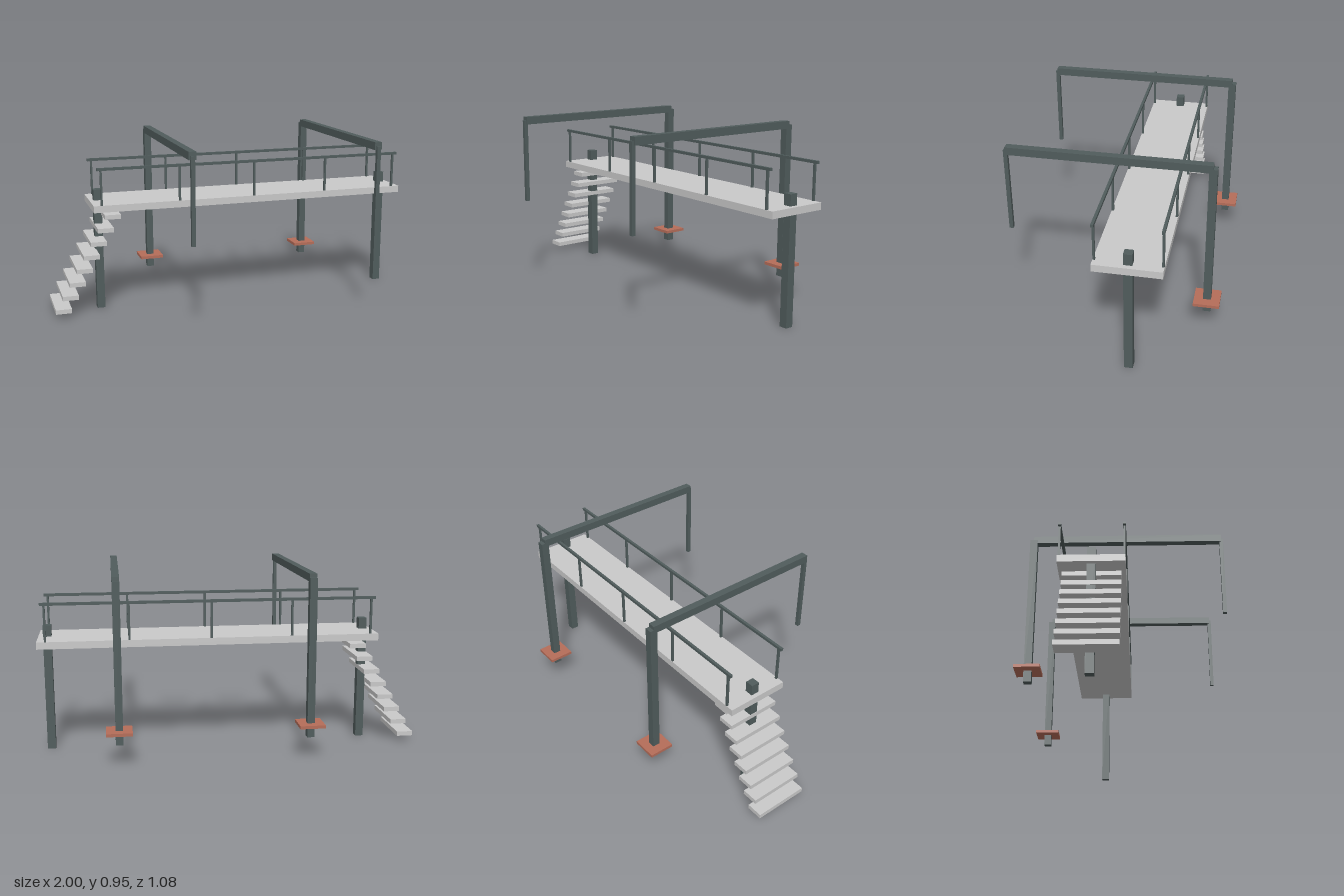
import * as THREE from 'three';

export function createModel() {
  const model = new THREE.Group();
  model.name = 'raisedWalkway';

  const material = (name, color) => {
    const m = new THREE.MeshStandardMaterial({ color });
    m.name = name;
    return m;
  };
  const steel = material('darkSteel', 0x505c5c);
  const concrete = material('paleConcrete', 0xc9c9c9);
  const rust = material('rustRed', 0xb56d59);

  // Box given by size and centre
  const box = (parent, name, mat, size, centre) => {
    const mesh = new THREE.Mesh(new THREE.BoxGeometry(...size), mat);
    mesh.name = name;
    mesh.position.set(...centre);
    parent.add(mesh);
  };
  const group = (name) => {
    const g = new THREE.Group();
    g.name = name;
    model.add(g);
    return g;
  };

  const midZ = -0.139;

  // Deck and the two columns that pass up through it
  box(model, 'deck', concrete, [1.78, 0.037, 0.332], [0.11, 0.591, midZ]);
  for (const x of [-0.736, 0.954]) {
    box(model, 'deckColumn', steel, [0.043, 0.668, 0.043], [x, 0.334, midZ]);
  }

  // Railings along both long edges
  for (const side of [-1, 1]) {
    const railing = group(side > 0 ? 'frontRailing' : 'backRailing');
    const z = midZ + side * 0.16;
    box(railing, 'handrail', steel, [1.736, 0.014, 0.014], [0.109, 0.802, z]);
    for (let i = 0; i < 5; i++) {
      box(railing, 'railPost', steel, [0.011, 0.19, 0.011], [-0.737 + i * 0.423, 0.702, z]);
    }
  }

  // Open flight of steps at the right end
  const stairs = group('stairs');
  for (let i = 0; i < 8; i++) {
    box(stairs, 'step', concrete, [0.086, 0.024, 0.29], [-0.957 + i * 0.04, 0.041 + i * 0.0713, midZ]);
  }

  // Portal frames: back post with foot plate, cross beam, hanging front post
  for (const x of [-0.38, 0.597]) {
    const frame = group('portalFrame');
    box(frame, 'backPost', steel, [0.038, 0.823, 0.04], [x, 0.5235, -0.473]);
    box(frame, 'crossBeam', steel, [0.038, 0.04, 1.002], [x, 0.935, 0.028]);
    box(frame, 'frontHanger', steel, [0.02, 0.444, 0.02], [x, 0.713, 0.53]);
    box(frame, 'footPlate', rust, [0.132, 0.016, 0.132], [x, 0.179, -0.473]);
  }

  return model;
}
